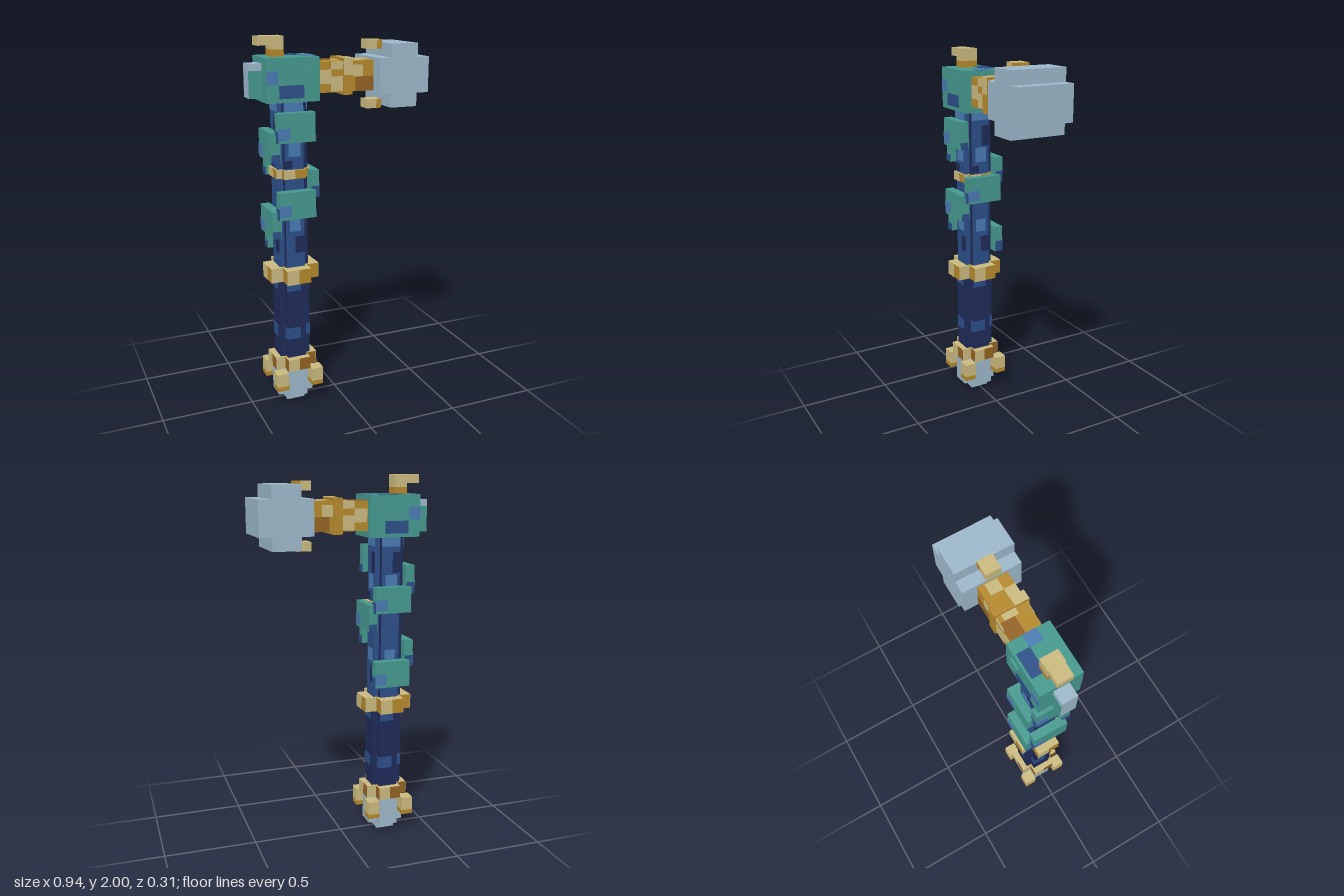
import * as THREE from 'three';

const paint = (name, color) => {
  const m = new THREE.MeshStandardMaterial({ color });
  m.name = name;
  return m;
};

export function createModel() {
  const teal = paint('teal', 0x45998f), blue = paint('blue', 0x4a7bb4), mid = paint('midBlue', 0x2c4f88);
  const navy = paint('navy', 0x1f2a58), tan = paint('tan', 0xcab97e), gold = paint('gold', 0xb5892c);
  const brown = paint('brown', 0x946322), pale = paint('paleSteel', 0x9db8ca);
  const model = new THREE.Group();
  model.name = 'warHammer';

  // Box given by its limits; material may be an array for +x -x +y -y +z -z
  const box = (parent, name, mat, x0, x1, y0, y1, z0, z1) => {
    const mesh = new THREE.Mesh(new THREE.BoxGeometry(x1 - x0, y1 - y0, z1 - z0), mat);
    mesh.position.set((x0 + x1) / 2, (y0 + y1) / 2, (z0 + z1) / 2);
    mesh.name = name;
    parent.add(mesh);
    return mesh;
  };
  const T = 0.003; // thickness of painted plates

  // Everything around the handle axis
  const handle = new THREE.Group();
  handle.name = 'handle';
  handle.position.x = -0.257;
  model.add(handle);
  // One group per side: 0 front, 1 +x, 2 back, 3 -x; its local +z points outward
  const sides = [0, 1, 2, 3].map((k) => {
    const g = new THREE.Group();
    g.name = 'handleSide' + k;
    g.rotation.y = k * Math.PI / 2;
    handle.add(g);
    return g;
  });
  // Plus-shaped bar: a core and four arms
  const plus = (name, R, w, y0, y1, core, arm) => {
    box(handle, name + 'Core', core, -w, w, y0, y1, -w, w);
    sides.forEach((s) => box(s, name + 'Arm', arm, -w, w, y0, y1, w, R));
  };

  // Pommel
  box(handle, 'pommelTip', pale, -0.052, 0.052, 0, 0.045, -0.052, 0.052);
  plus('pommel', 0.1, 0.052, 0.04, 0.21, pale, pale);
  plus('pommelRing', 0.117, 0.063, 0.205, 0.275, gold, [tan, brown, tan, gold, brown, gold]);
  sides.forEach((s) => {
    box(s, 'ringPatch', tan, -0.063, 0, 0.205, 0.275, 0.117, 0.117 + T);
    box(s, 'prong', tan, 0.068, 0.133, 0.13, 0.205, 0.068, 0.133);
    box(s, 'prongTip', gold, 0.068, 0.133, 0.105, 0.13, 0.068, 0.133);
  });

  // Lower grip with blue flecks
  plus('lowerGrip', 0.085, 0.053, 0.27, 0.73, navy, navy);
  sides.forEach((s) => {
    box(s, 'gripFleck', mid, -0.053, 0.02, 0.385, 0.45, 0.085, 0.085 + T);
    box(s, 'gripFleck', mid, -0.053, 0.025, 0.665, 0.72, 0.085, 0.085 + T);
    box(s, 'gripFleck', mid, -0.053 - T, -0.053, 0.385, 0.45, 0.053, 0.085);
  });

  // Large collar
  plus('collar', 0.133, 0.067, 0.72, 0.8, gold, [tan, gold, tan, gold, gold, gold]);
  sides.forEach((s) => box(s, 'collarPatch', tan, -0.067, 0, 0.72, 0.8, 0.133, 0.133 + T));

  // Upper grip
  plus('upperGrip', 0.08, 0.052, 0.8, 1.69, navy, [mid, navy, mid, mid, mid, mid]);
  sides.forEach((s) => {
    [[-0.03, 0.035, 1.4, 1.48, blue], [-0.052, 0.052, 1.63, 1.68, blue], [-0.03, 0.03, 1.0, 1.07, blue],
      [0.0, 0.052, 0.88, 0.97, navy], [-0.052, -0.01, 1.34, 1.38, navy], [0.01, 0.052, 1.49, 1.6, navy]]
      .forEach(([x0, x1, y0, y1, m]) => box(s, 'gripFleck', m, x0, x1, y0, y1, 0.08, 0.08 + T));
  });
  plus('smallRing', 0.09, 0.06, 1.285, 1.332, gold, [tan, gold, tan, gold, gold, gold]);
  sides.forEach((s) => box(s, 'smallRingPatch', tan, -0.06, 0, 1.285, 1.332, 0.09, 0.09 + T));

  // Scale plates spiralling up the grip: side, bottom, top
  [[0, 1.48, 1.63], [3, 1.38, 1.53], [2, 1.28, 1.42], [1, 1.18, 1.325],
    [0, 1.08, 1.225], [3, 0.975, 1.12], [2, 0.87, 1.015]].forEach(([k, y0, y1]) => {
    const s = sides[k];
    box(s, 'scalePlate', [teal, teal, teal, mid, teal, teal], -0.1, 0.1, y0, y1, 0.08, 0.129);
    box(s, 'scaleFleck', blue, -0.1, -0.035, y0 + 0.015, y0 + 0.075, 0.129, 0.129 + T);
    box(s, 'scaleSideFleck', mid, -0.1 - T, -0.1, y0, y0 + 0.06, 0.085, 0.129);
    box(s, 'scaleSideFleck', mid, 0.1, 0.1 + T, y0, y0 + 0.04, 0.085, 0.129);
  });

  // Head block with painted patches and side studs
  box(model, 'headBlock', teal, -0.405, -0.125, 1.68, 1.9, -0.11, 0.11);
  [1, -1].forEach((d) => {
    const plate = (name, m, x0, x1, y0, y1, depth) =>
      box(model, name, m, x0, x1, y0, y1, Math.min(d * 0.11, d * (0.11 + depth)), Math.max(d * 0.11, d * (0.11 + depth)));
    plate('headPatch', blue, -0.405, -0.345, 1.77, 1.835, T);
    plate('headPatch', mid, -0.34, -0.21, 1.7, 1.765, T);
    plate('headStud', teal, -0.24, -0.175, 1.803, 1.85, 0.011);
  });
  box(model, 'headTopPatch', mid, -0.32, -0.19, 1.9, 1.9 + T, -0.098, -0.03);
  box(model, 'headTopPatch', blue, -0.19, -0.125, 1.9, 1.9 + T, -0.03, 0.04);

  // Rear fin
  box(model, 'rearFin', pale, -0.475, -0.405, 1.7, 1.87, -0.04, 0.04);
  [-0.04 - T, 0.04].forEach((z) => box(model, 'rearFinCheek', teal, -0.475, -0.405, 1.7, 1.835, z, z + T));

  // Hooked crest
  box(model, 'crestBase', gold, -0.355, -0.29, 1.9, 1.935, -0.045, 0.045);
  box(model, 'crestPost', tan, -0.355, -0.29, 1.935, 2, -0.045, 0.045);
  box(model, 'crestTip', tan, -0.425, -0.355, 1.955, 2, -0.04, 0.04);

  // Golden neck, its collar and patches
  box(model, 'neck', [gold, gold, gold, brown, gold, gold], -0.125, 0.19, 1.715, 1.87, -0.078, 0.078);
  box(model, 'neckCollar', [gold, gold, gold, gold, gold, gold], 0.015, 0.065, 1.7, 1.885, -0.089, 0.089);
  [0.078, -0.078 - T].forEach((z) => {
    [[-0.12, -0.05, 1.76, 1.83, tan], [-0.05, 0.015, 1.72, 1.795, tan], [-0.05, 0.015, 1.83, 1.87, tan],
      [0.065, 0.125, 1.79, 1.85, tan], [0.085, 0.19, 1.715, 1.79, brown]]
      .forEach(([x0, x1, y0, y1, m]) => box(model, 'neckPatch', m, x0, x1, y0, y1, z, z + T));
  });
  [[-0.12, -0.02, -0.078, -0.005, brown], [-0.02, 0.015, -0.055, 0.018, tan],
    [0.065, 0.118, 0.02, 0.078, tan], [0.118, 0.18, -0.045, 0.02, tan]]
    .forEach(([x0, x1, z0, z1, m]) => box(model, 'neckTopPatch', m, x0, x1, 1.87, 1.87 + T, z0, z1));
  box(model, 'neckCollarPatch', tan, 0.015, 0.065, 1.885, 1.885 + T, 0.018, 0.089);
  box(model, 'neckCollarPatch', tan, 0.015, 0.065, 1.8, 1.885, 0.089, 0.089 + T);

  // Striking head: wide bar crossed by a tall bar
  box(model, 'strikerBar', pale, 0.187, 0.47, 1.7, 1.885, -0.153, 0.153);
  box(model, 'strikerTop', pale, 0.252, 0.403, 1.885, 1.955, -0.153, 0.153);
  box(model, 'strikerBottom', pale, 0.252, 0.403, 1.63, 1.7, -0.153, 0.153);

  // Clips above and below the striker
  [1.922, 1.615].forEach((y) => {
    box(model, 'clip', [tan, tan, tan, gold, tan, tan], 0.17, 0.225, y, y + 0.048, -0.04, 0.04);
    box(model, 'clipEnd', [gold, gold, tan, gold, gold, gold], 0.225, 0.252, y, y + 0.048, -0.04, 0.04);
  });

  return model;
}
